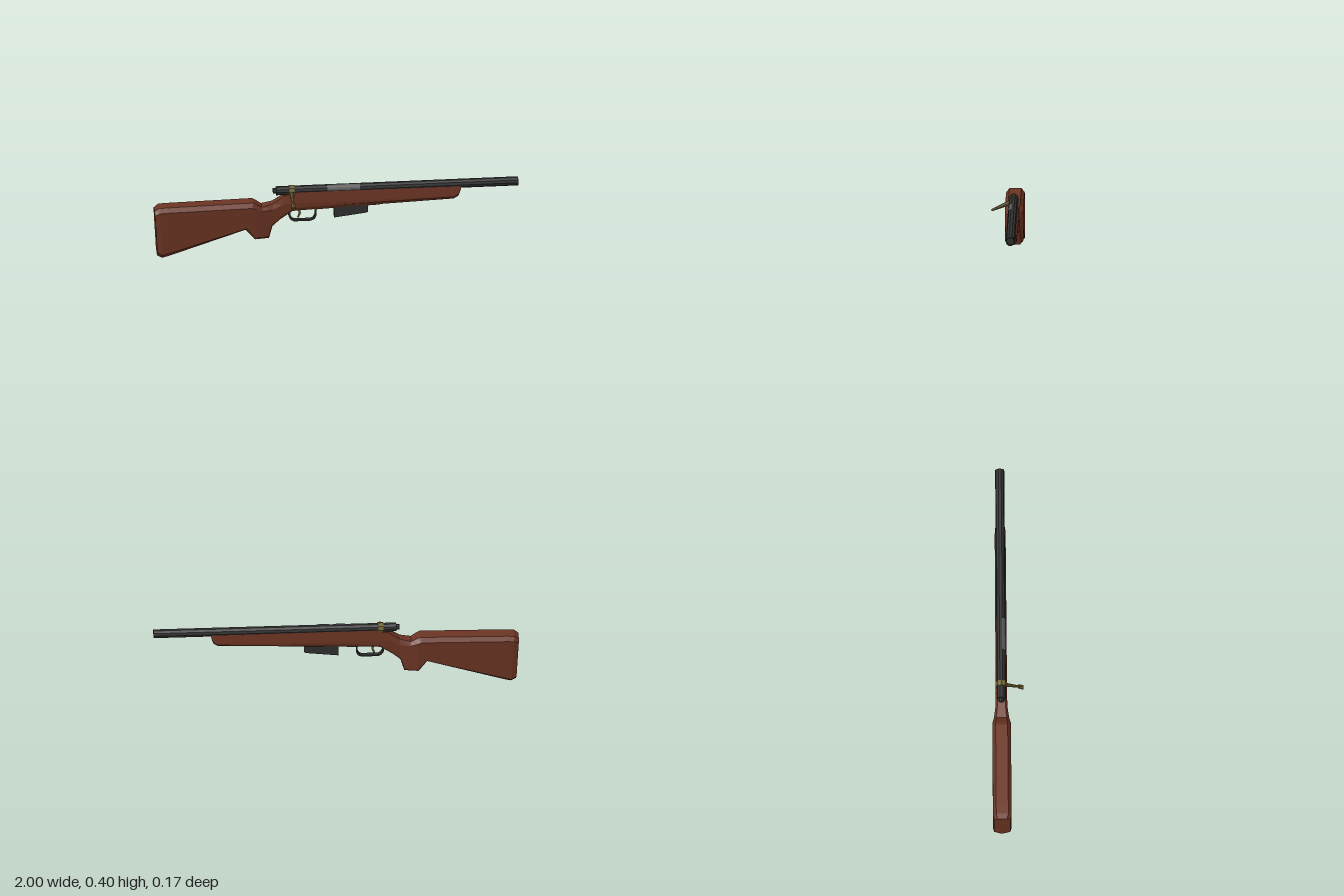
import * as THREE from 'three';

const material = (name, color) => {
  const m = new THREE.MeshStandardMaterial({ color, flatShading: true });
  m.name = name;
  return m;
};

// Loft of eight-sided sections running along x:
// [xTop, yTop, xBottom, yBottom, halfWidth, topHalf, bottomHalf, topChamfer, bottomChamfer]
function loft(sections) {
  const pos = [], index = [];
  for (const [xT, yT, xB, yB, w, t, b, ct, cb] of sections) {
    const half = [[yT, t], [yT - ct, w], [yB + cb, w], [yB, b]];
    const ring = [...half, ...half.slice().reverse().map(([y, z]) => [y, -z])];
    for (const [y, z] of ring) pos.push(xB + (xT - xB) * (y - yB) / (yT - yB), y, z);
  }
  const last = (sections.length - 1) * 8;
  for (let i = 0; i < last; i += 8) {
    for (let j = 0; j < 8; j++) {
      const k = (j + 1) % 8;
      index.push(i + j, i + k, i + 8 + k, i + j, i + 8 + k, i + 8 + j);
    }
  }
  for (let j = 1; j < 7; j++) {
    index.push(0, j + 1, j, last, last + j, last + j + 1);
  }
  const g = new THREE.BufferGeometry();
  g.setAttribute('position', new THREE.Float32BufferAttribute(pos, 3));
  g.setIndex(index);
  const flat = g.toNonIndexed();
  flat.computeVertexNormals();
  return flat;
}

const outline = pts => pts.map(([x, y]) => new THREE.Vector2(x, y));

// Side outline extruded symmetrically across the gun's width
function slab(points, width, hole) {
  const shape = new THREE.Shape(outline(points));
  if (hole) shape.holes.push(new THREE.Path(outline(hole)));
  return new THREE.ExtrudeGeometry(shape, { depth: width, bevelEnabled: false })
    .translate(0, 0, -width / 2);
}

export function createModel() {
  const group = new THREE.Group();
  group.position.z = -0.037;
  const wood = material('wood', 0x6b3423);
  const steel = material('dark steel', 0x303030);
  const grey = material('bolt grey', 0x5c5c5c);
  const brass = material('olive brass', 0x6e6430);
  const add = (name, geometry, mat) => {
    const mesh = new THREE.Mesh(geometry, mat);
    mesh.name = name;
    group.add(mesh);
    return mesh;
  };

  // Butt, pistol grip and fore-end in one piece
  add('stock', loft([
    [-1.0, 0.287, -0.985, 0.015, 0.045, 0.026, 0.014, 0.02, 0.03],
    [-0.975, 0.305, -0.957, 0.0, 0.051, 0.033, 0.016, 0.024, 0.03],
    [-0.93, 0.307, -0.92, 0.01, 0.051, 0.033, 0.016, 0.024, 0.03],
    [-0.46, 0.315, -0.5, 0.15, 0.051, 0.033, 0.02, 0.024, 0.02],
    [-0.44, 0.305, -0.45, 0.102, 0.051, 0.031, 0.046, 0.024, 0.01],
    [-0.41, 0.285, -0.372, 0.102, 0.042, 0.028, 0.034, 0.02, 0.01],
    [-0.35, 0.3, -0.352, 0.168, 0.034, 0.022, 0.024, 0.03, 0.02],
    [-0.29, 0.34, -0.31, 0.205, 0.031, 0.02, 0.022, 0.045, 0.02],
    [-0.24, 0.362, -0.24, 0.252, 0.031, 0.023, 0.02, 0.06, 0.02],
    [0, 0.362, 0, 0.263, 0.031, 0.023, 0.02, 0.06, 0.02],
    [0.645, 0.36, 0.645, 0.286, 0.03, 0.023, 0.018, 0.05, 0.015],
    [0.672, 0.36, 0.672, 0.302, 0.028, 0.023, 0.016, 0.035, 0.012],
    [0.686, 0.358, 0.68, 0.325, 0.024, 0.021, 0.015, 0.012, 0.01],
  ]), wood);

  // Barrel and receiver with a hollow muzzle
  const barrel = add('barrel', new THREE.LatheGeometry(outline([
    [0, -0.33], [0.025, -0.33], [0.025, 1], [0.019, 1], [0.019, 0.985], [0, 0.985],
  ]), 10), steel);
  barrel.rotation.z = -Math.PI / 2;
  barrel.position.y = 0.368;

  const cap = add('boltEnd', new THREE.CylinderGeometry(0.016, 0.016, 0.03, 8), steel);
  cap.rotation.z = Math.PI / 2;
  cap.position.set(-0.332, 0.368, 0);

  // Ejection port plate on the right of the receiver
  const port = add('ejectionPort',
    new THREE.CylinderGeometry(0.0262, 0.0262, 0.18, 4, 1, true, 0, Math.PI * 0.42), grey);
  port.rotation.set(0, 0, Math.PI / 2);
  port.rotation.x = 0;
  port.position.set(0.04, 0.368, 0);

  // Bolt collar, arm and knob
  const collar = add('boltCollar', new THREE.CylinderGeometry(0.031, 0.031, 0.028, 8), brass);
  collar.rotation.z = Math.PI / 2;
  collar.position.set(-0.245, 0.367, 0);

  const handle = new THREE.Group();
  handle.name = 'boltHandle';
  handle.position.set(-0.245, 0.358, 0.02);
  handle.rotation.x = 1.979;
  const arm = new THREE.Mesh(
    new THREE.CylinderGeometry(0.006, 0.014, 0.107, 8).scale(0.8, 1, 1).translate(0, 0.0535, 0), brass);
  arm.name = 'boltArm';
  const knob = new THREE.Mesh(
    new THREE.CylinderGeometry(0.012, 0.009, 0.03, 8).scale(1.2, 1, 0.5).translate(0, 0.094, 0), brass);
  knob.name = 'boltKnob';
  handle.add(arm, knob);
  group.add(handle);

  // Trigger guard loop and trigger
  add('triggerGuard', slab(
    [[-0.26, 0.262], [-0.262, 0.215], [-0.25, 0.194], [-0.232, 0.184], [-0.138, 0.184],
      [-0.118, 0.194], [-0.109, 0.215], [-0.109, 0.268]], 0.022,
    [[-0.25, 0.256], [-0.252, 0.217], [-0.243, 0.201], [-0.229, 0.193], [-0.141, 0.193],
      [-0.126, 0.2], [-0.118, 0.217], [-0.118, 0.256]]), steel);
  add('trigger', slab(
    [[-0.216, 0.262], [-0.204, 0.23], [-0.213, 0.204], [-0.205, 0.203],
      [-0.194, 0.23], [-0.198, 0.262]], 0.01), brass);

  // Magazine and the floor plate around it
  add('magazine', slab(
    [[-0.012, 0.28], [-0.012, 0.2], [0.168, 0.222], [0.175, 0.228], [0.175, 0.285]], 0.032), steel);
  add('floorPlate', slab(
    [[-0.12, 0.27], [-0.12, 0.254], [-0.02, 0.259], [0.24, 0.268], [0.24, 0.285]], 0.036), steel);

  return group;
}
